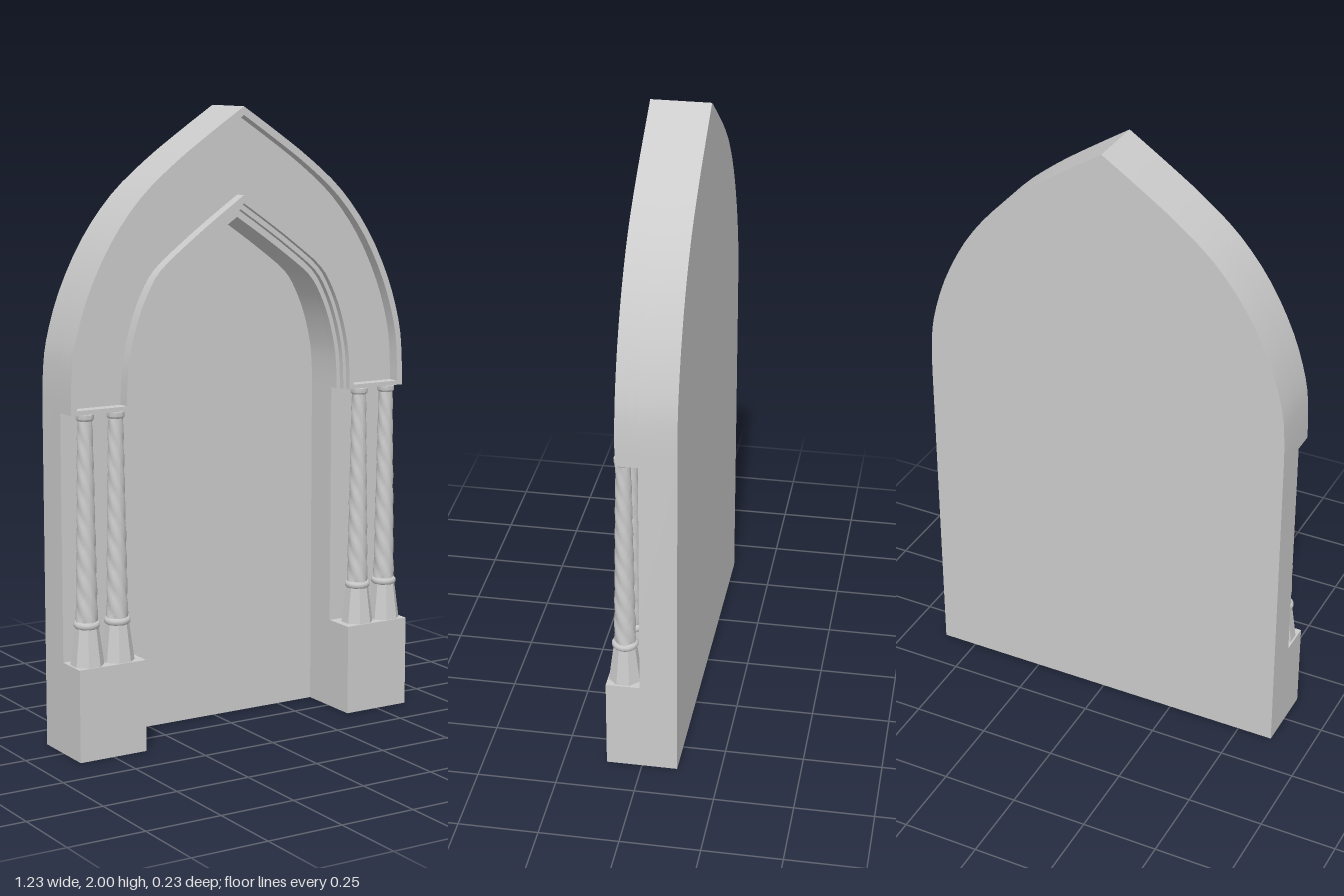
import * as THREE from 'three';
import { toCreasedNormals } from 'three/addons/utils/BufferGeometryUtils.js';

const SPRING = 1.08, BACK = -0.113, JAMB = 0.005, FACE = 0.035, RIM = 0.075, FRONT = 0.113;
const W = 0.617, OPEN = 0.383;

// normalised half profiles of the pointed arch, from springing to apex
const OUTER = [[1, 0], [0.996, 0.11], [0.975, 0.228], [0.9, 0.39], [0.77, 0.56], [0.6, 0.705], [0.403, 0.817], [0.2, 0.912], [0, 1]];
const INNER = [[1, 0], [0.996, 0.11], [0.976, 0.242], [0.913, 0.406], [0.825, 0.546], [0.71, 0.66], [0.473, 0.784], [0.23, 0.898], [0, 1]];

const material = new THREE.MeshStandardMaterial({ color: 0xcccccc });

function add(parent, name, geometry, x = 0, y = 0, z = 0) {
  const mesh = new THREE.Mesh(geometry, material);
  mesh.name = name;
  mesh.position.set(x, y, z);
  parent.add(mesh);
  return mesh;
}

// full arch line from right foot over the apex to left foot
function archLine(profile, halfWidth, apex, bottom) {
  const curve = new THREE.SplineCurve(profile.map(([x, y]) =>
    new THREE.Vector2(x * halfWidth, SPRING + y * (apex - SPRING))));
  const right = curve.getPoints(24);
  if (bottom < SPRING) right.unshift(new THREE.Vector2(halfWidth, bottom));
  const left = right.slice(0, -1).reverse().map((p) => new THREE.Vector2(-p.x, p.y));
  return right.concat(left);
}

function extrude(points, z0, z1) {
  const geometry = new THREE.ExtrudeGeometry(new THREE.Shape(points), { depth: z1 - z0, bevelEnabled: false });
  geometry.translate(0, 0, z0);
  return toCreasedNormals(geometry, 0.4);
}

// solid between two arch lines
function band(outer, inner, z0, z1) {
  return extrude([...outer, ...inner.slice().reverse()], z0, z1);
}

// tapering shaft with four twisted lobes
function twistedShaft(r0, r1, height) {
  const geometry = new THREE.CylinderGeometry(1, 1, height, 32, 56, true);
  const p = geometry.attributes.position;
  for (let i = 0; i < p.count; i++) {
    const t = p.getY(i) / height + 0.5;
    const angle = Math.atan2(p.getX(i), p.getZ(i));
    const lobe = Math.abs(Math.cos(2 * (angle + t * Math.PI * 4)));
    const r = THREE.MathUtils.lerp(r0, r1, t) * (0.8 + 0.2 * Math.sqrt(lobe));
    p.setXY(i, r * Math.sin(angle), p.getY(i));
    p.setZ(i, r * Math.cos(angle));
  }
  geometry.computeVertexNormals();
  return geometry;
}

function makeColumn() {
  const column = new THREE.Group();
  column.name = 'column';
  // octagonal foot
  const foot = new THREE.CylinderGeometry(0.037, 0.053, 0.12, 8);
  foot.rotateY(Math.PI / 8);
  add(column, 'columnFoot', toCreasedNormals(foot, 0.3), 0, 0.355, 0);
  // ring above the foot
  const ring = [[0, 0.412], [0.036, 0.412], [0.041, 0.418], [0.041, 0.427], [0.036, 0.433], [0, 0.433]];
  add(column, 'columnRing', new THREE.LatheGeometry(ring.map((q) => new THREE.Vector2(...q)), 24));
  add(column, 'twistedShaft', twistedShaft(0.035, 0.024, 0.638), 0, 0.749, 0);
  // small capital
  const cap = [[0, 1.06], [0.024, 1.06], [0.028, 1.066], [0.028, SPRING], [0, SPRING]];
  add(column, 'columnCapital', toCreasedNormals(
    new THREE.LatheGeometry(cap.map((q) => new THREE.Vector2(...q)), 24), 0.6));
  return column;
}

export function createModel() {
  const model = new THREE.Group();
  model.name = 'archedNiche';

  // back wall and the jambs with the arch behind
  add(model, 'backPanel', extrude(archLine(OUTER, W, 2, 0), BACK, BACK + 0.004));
  add(model, 'jambsAndArch', band(archLine(OUTER, W, 2, 0), archLine(INNER, OPEN, 1.655, 0), BACK, JAMB));

  // projecting arch with its sunken face
  const arch = (profile, w, apex) => archLine(profile, w, apex, SPRING);
  add(model, 'archFace', band(arch(OUTER, W, 2), arch(INNER, OPEN, 1.655), JAMB, FACE));
  add(model, 'outerRim', band(arch(OUTER, W, 2), arch(OUTER, 0.597, 1.973), FACE, RIM));
  add(model, 'innerRim', band(arch(INNER, 0.423, 1.725), arch(INNER, 0.407, 1.7), FACE, RIM));
  add(model, 'innerStep', band(arch(INNER, 0.407, 1.7), arch(INNER, 0.396, 1.68), FACE, 0.055));

  for (const side of [-1, 1]) {
    // lip closing the foot of the sunken face
    add(model, 'archLip', new THREE.BoxGeometry(0.176, 0.014, RIM - FACE),
      side * 0.51, SPRING + 0.007, (RIM + FACE) / 2);
    // plinth under the column pair
    add(model, 'plinth', new THREE.BoxGeometry(W - OPEN, 0.295, FRONT - JAMB),
      side * (W + OPEN) / 2, 0.1475, (FRONT + JAMB) / 2);
    for (const x of [0.455, 0.562]) {
      const column = makeColumn();
      column.position.set(side * x, 0, 0.06);
      model.add(column);
    }
  }
  return model;
}
